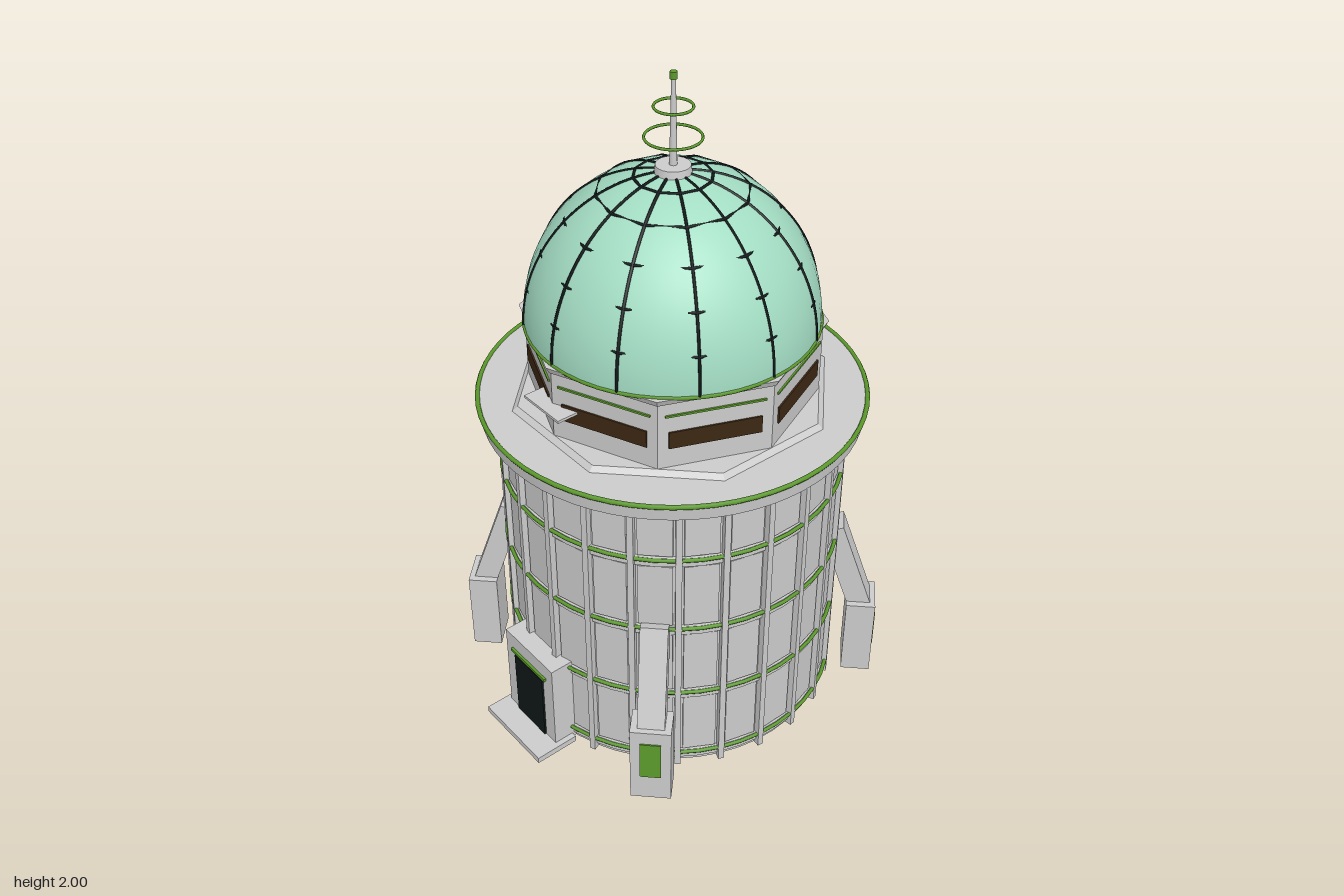
import * as THREE from 'three';

const mat = (color) => new THREE.MeshStandardMaterial({ color });
const flat = (color) => new THREE.MeshStandardMaterial({ color, flatShading: true });

export function createModel() {
  const root = new THREE.Group();
  const tower = new THREE.Group();
  tower.name = 'observatory';
  tower.position.z = -0.03;
  root.add(tower);

  const grey = flat(0xcccccc), smoothGrey = mat(0xcccccc), green = mat(0x5c9a2c);
  const dark = mat(0x101818), brown = mat(0x3d2814), copper = mat(0xa3dcc3);

  const add = (name, geo, material, x = 0, y = 0, z = 0, parent = tower) => {
    const m = new THREE.Mesh(geo, material);
    m.name = name;
    m.position.set(x, y, z);
    parent.add(m);
    return m;
  };
  const box = (w, h, d) => new THREE.BoxGeometry(w, h, d);
  const cyl = (rt, rb, h, n) => new THREE.CylinderGeometry(rt, rb, h, n);
  const ring = (name, r, tube, y, material, n = 48) => {
    const m = add(name, new THREE.TorusGeometry(r, tube, 6, n), material, 0, y, 0);
    m.rotation.x = Math.PI / 2;
    return m;
  };
  // group turned about the tower axis, its +z pointing outwards
  const spoke = (name, angle) => {
    const g = new THREE.Group();
    g.name = name;
    g.rotation.y = angle;
    tower.add(g);
    return g;
  };

  // Tower body
  add('towerWall', cyl(0.49, 0.49, 1.0, 48), smoothGrey, 0, 0.505, 0);
  const bands = [0.05, 0.303, 0.556, 0.81];
  bands.forEach((y) => {
    add('bandCourse', cyl(0.499, 0.499, 0.03, 48), smoothGrey, 0, y - 0.012, 0);
    ring('greenBand', 0.505, 0.006, y, green);
  });

  // 24 bays: ribs between raised panels
  for (let i = 0; i < 24; i++) {
    const a = (i * Math.PI) / 12;
    const rib = spoke('ribBay', a + Math.PI / 24);
    add('rib', box(0.018, 1.0, 0.03), grey, 0, 0.505, 0.496, rib);
    const bay = spoke('panelBay', a);
    for (let k = 0; k < 4; k++) {
      add('wallPanel', box(0.098, 0.215, 0.014), grey, 0, bands[k] + 0.115, 0.487, bay);
    }
  }

  // Gallery deck
  add('deck', cyl(0.56, 0.555, 0.048, 64), smoothGrey, 0, 1.02, 0);
  ring('deckTrim', 0.56, 0.007, 1.043, green, 64);
  const plate = add('drumPlinth', cyl(0.455, 0.471, 0.014, 8), grey, 0, 1.051, 0);
  plate.rotation.y = Math.PI / 8;

  // Octagonal drum with a corner facing front
  add('drum', cyl(0.42, 0.42, 0.225, 8), grey, 0, 1.162, 0);
  add('drumLip', cyl(0.435, 0.425, 0.02, 8), grey, 0, 1.275, 0);
  const apothem = 0.42 * Math.cos(Math.PI / 8);
  for (let i = 0; i < 8; i++) {
    const face = spoke('drumFace', (i + 0.5) * Math.PI / 4);
    add('window', box(0.26, 0.052, 0.01), brown, 0, 1.147, apothem, face);
    add('greenStrip', box(0.28, 0.006, 0.01), green, 0, 1.225, apothem, face);
  }
  add('frontLedge', box(0.155, 0.008, 0.08), smoothGrey, 0, 1.161, 0.418);

  // Dome with ribs and twelve-sided hoops
  const R = 0.415, H = 0.44, base = 1.285;
  const dome = add('dome', new THREE.SphereGeometry(1, 48, 24, 0, Math.PI * 2, 0, Math.PI / 2), copper, 0, base, 0);
  dome.scale.set(R, H, R);
  ring('domeBaseTrim', 0.414, 0.006, base, green, 64);
  const pts = [];
  for (let i = 0; i <= 12; i++) {
    const t = (i / 12) * Math.PI / 2;
    pts.push(new THREE.Vector3(0, H * Math.sin(t), R * Math.cos(t)));
  }
  const ribGeo = new THREE.TubeGeometry(new THREE.CatmullRomCurve3(pts), 24, 0.0045, 5);
  for (let i = 0; i < 12; i++) {
    add('domeRib', ribGeo, dark, 0, base, 0, spoke('domeMeridian', (i * Math.PI) / 6));
  }
  for (let d = 15; d <= 75; d += 15) {
    const t = THREE.MathUtils.degToRad(d);
    ring('domeHoop', R * Math.cos(t), 0.0045, base + H * Math.sin(t), dark, 12);
  }

  // Finial mast
  add('domeCap', cyl(0.048, 0.052, 0.025, 24), smoothGrey, 0, 1.73, 0);
  add('mast', cyl(0.006, 0.011, 0.25, 12), smoothGrey, 0, 1.865, 0);
  add('mastTip', cyl(0.01, 0.01, 0.02, 12), green, 0, 1.99, 0);
  ring('lowerMastRing', 0.077, 0.004, 1.82, green, 40);
  ring('upperMastRing', 0.052, 0.004, 1.905, green, 40);

  // Four diagonal buttresses with sloping struts
  for (let i = 0; i < 4; i++) {
    const b = spoke('buttress', Math.PI / 4 + (i * Math.PI) / 2);
    add('buttressBlock', box(0.12, 0.27, 0.09), grey, 0, 0.145, 0.598, b);
    add('buttressPanel', box(0.062, 0.135, 0.008), green, 0, 0.168, 0.643, b);
    const strut = add('strut', box(0.08, 0.36, 0.07), grey, 0, 0.395, 0.55, b);
    strut.rotation.x = -0.33;
  }

  // Entrance
  const entry = spoke('entrance', 0);
  add('doorFrame', box(0.235, 0.315, 0.10), grey, 0, 0.162, 0.503, entry);
  add('door', box(0.14, 0.23, 0.012), dark, 0, 0.137, 0.553, entry);
  add('doorLintel', box(0.17, 0.01, 0.014), green, 0, 0.265, 0.554, entry);
  add('doorStep', box(0.27, 0.02, 0.14), grey, 0, 0.011, 0.56, entry);

  return root;
}
